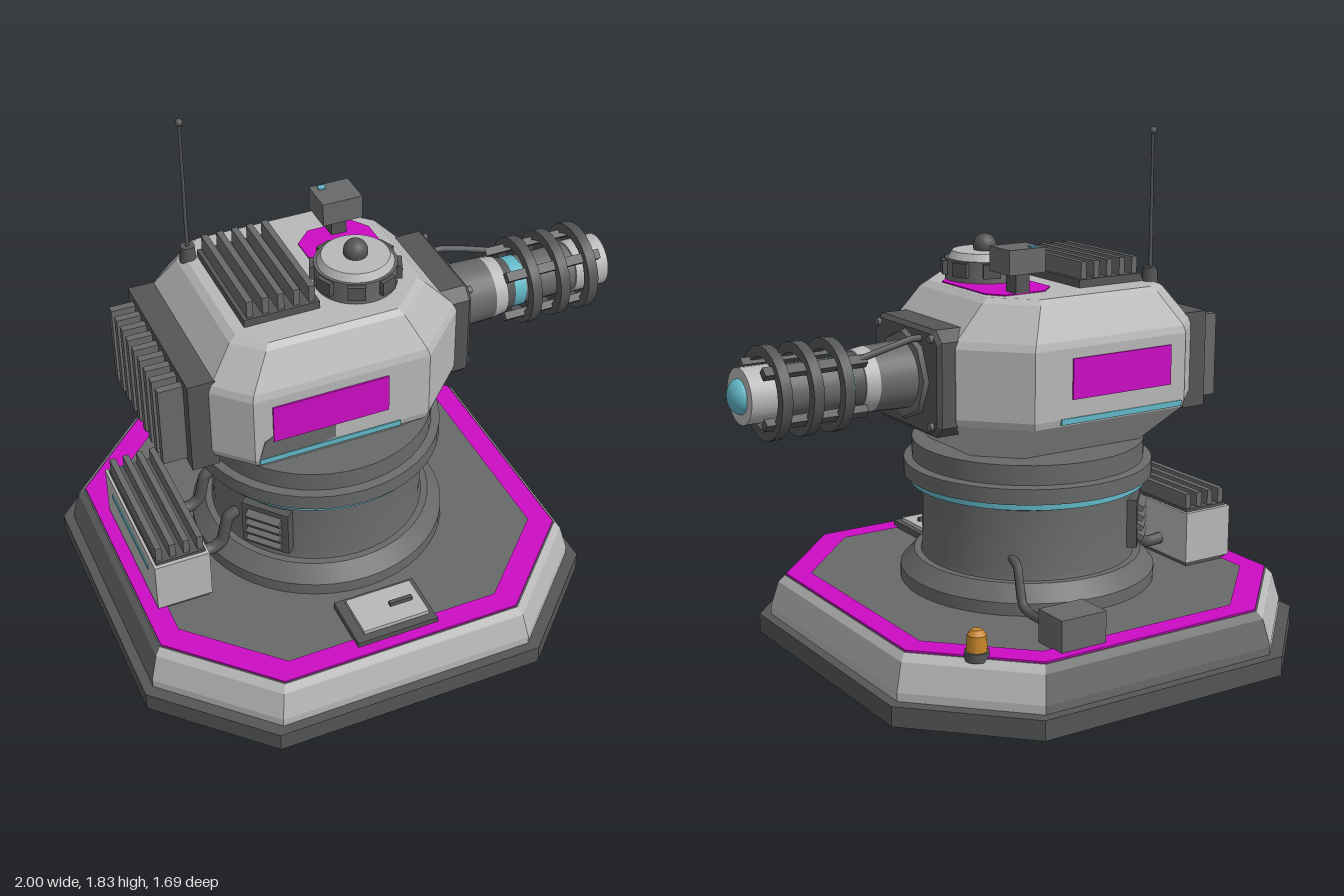
import * as THREE from 'three';
import { toCreasedNormals } from 'three/addons/utils/BufferGeometryUtils.js';

const mat = (name, color, side = THREE.FrontSide) => {
  const m = new THREE.MeshStandardMaterial({ color, side });
  m.name = name;
  return m;
};

export function createModel() {
  const root = new THREE.Group();
  root.name = 'turret';
  const light = mat('light armour', 0xb8b8b8), dark = mat('dark metal', 0x686a69);
  const deep = mat('deep metal', 0x545655), magenta = mat('magenta paint', 0xcc0cc4);
  const cyan = mat('cyan glow', 0x62b8c8), amber = mat('amber lamp', 0xc8862a);
  const CX = -0.155, BY = 1.025; // pedestal axis x, barrel axis y

  const add = (name, geo, m, x = 0, y = 0, z = 0, parent = root) => {
    const mesh = new THREE.Mesh(geo, m);
    mesh.name = name;
    mesh.position.set(x, y, z);
    parent.add(mesh);
    return mesh;
  };
  // box given by its extents
  const box = (name, m, x0, x1, y0, y1, z0, z1, parent = root) =>
    add(name, new THREE.BoxGeometry(x1 - x0, y1 - y0, z1 - z0), m, (x0 + x1) / 2, (y0 + y1) / 2, (z0 + z1) / 2, parent);
  const cyl = (name, m, r0, r1, y0, y1, x, z, seg = 24) =>
    add(name, new THREE.CylinderGeometry(r1, r0, y1 - y0, seg), m, x, (y0 + y1) / 2, z);
  const cylX = (name, m, r0, r1, x0, x1, seg = 28) =>
    add(name, new THREE.CylinderGeometry(r1, r0, x1 - x0, seg).rotateZ(-Math.PI / 2), m, (x0 + x1) / 2, BY, 0);
  const lathe = (pts, seg = 48) =>
    toCreasedNormals(new THREE.LatheGeometry(pts.map(p => new THREE.Vector2(...p)), seg), 0.5);
  const tube = (name, m, r, pts) =>
    add(name, new THREE.TubeGeometry(new THREE.CatmullRomCurve3(pts.map(p => new THREE.Vector3(...p)), false, 'catmullrom', 0.2), 20, r, 8), m);

  // octagonal outline: left/right x, half depth, left/right corner cut
  const octagon = (x0, x1, z, cl, cr) => [
    [x0 + cl, z], [x1 - cr, z], [x1, z - cr], [x1, cr - z],
    [x1 - cr, -z], [x0 + cl, -z], [x0, cl - z], [x0, z - cl]];
  const regular = (h, c) => octagon(CX - h, CX + h, h, c, c);
  // stacked octagons; one geometry group per side (0 front, then round by +x), 8 for the caps
  const loft = (levels) => {
    const pos = [], geo = new THREE.BufferGeometry();
    const put = (...list) => list.forEach(([l, k]) => pos.push(levels[l][1][k][0], levels[l][0], levels[l][1][k][1]));
    const top = levels.length - 1;
    for (let k = 0; k < 8; k++) {
      const n = (k + 1) % 8, start = pos.length / 3;
      for (let l = 0; l < top; l++) put([l, k], [l, n], [l + 1, n], [l, k], [l + 1, n], [l + 1, k]);
      geo.addGroup(start, pos.length / 3 - start, k);
    }
    const start = pos.length / 3;
    for (let k = 1; k < 7; k++) put([top, 0], [top, k], [top, k + 1], [0, 0], [0, k + 1], [0, k]);
    geo.addGroup(start, pos.length / 3 - start, 8);
    geo.setAttribute('position', new THREE.Float32BufferAttribute(pos, 3));
    geo.computeVertexNormals();
    return geo;
  };
  const shapeOf = pts => new THREE.Shape(pts.map(p => new THREE.Vector2(...p)));
  const plate = (pts, depth) => new THREE.ExtrudeGeometry(shapeOf(pts), { depth, bevelEnabled: false });

  // base: foot, armoured step, painted border
  add('foot', loft([[0, regular(0.845, 0.355)], [0.07, regular(0.845, 0.355)]]), deep);
  add('baseStep', loft([[0.07, regular(0.81, 0.345)], [0.1, regular(0.81, 0.345)],
    [0.195, regular(0.785, 0.335)], [0.22, regular(0.765, 0.328)]]),
  [light, light, light, light, dark, light, dark, light, dark]);
  const border = shapeOf(regular(0.76, 0.325));
  border.holes.push(new THREE.Path(regular(0.68, 0.29).map(p => new THREE.Vector2(...p))));
  add('borderStripe', new THREE.ExtrudeGeometry(border, { depth: 0.006, bevelEnabled: false }).rotateX(-Math.PI / 2), magenta, 0, 0.22, 0);

  // pedestal and turning ring
  add('pedestal', lathe([[0.46, 0.22], [0.46, 0.265], [0.41, 0.32], [0.385, 0.32], [0.38, 0.34], [0.38, 0.57], [0.41, 0.585]]), dark, CX);
  add('glowRing', lathe([[0.38, 0.585], [0.425, 0.585], [0.425, 0.605], [0.38, 0.605]]), cyan, CX);
  add('turningRing', lathe([[0.38, 0.605], [0.445, 0.61], [0.445, 0.665], [0.415, 0.67], [0.415, 0.74], [0, 0.745]]), dark, CX);
  for (const s of [1, -1]) {
    const vent = new THREE.Group();
    vent.name = 'pedestalVent';
    vent.position.set(CX - 0.285, 0.448, s * 0.25);
    vent.rotation.y = s > 0 ? -0.85 : Math.PI + 0.85;
    root.add(vent);
    box('ventFrame', deep, -0.09, 0.09, -0.088, 0.088, -0.04, 0.025, vent);
    for (let i = 0; i < 4; i++) {
      const slat = box('ventSlat', dark, -0.065, 0.065, -0.01, 0.01, -0.012, 0.022, vent);
      slat.position.set(0, -0.054 + i * 0.036, 0.03);
      slat.rotation.x = 0.5;
    }
  }

  // housing
  add('housing', loft([
    [0.74, octagon(-0.53, 0.17, 0.27, 0.08, 0.13)],
    [0.875, octagon(-0.635, 0.275, 0.405, 0.105, 0.19)],
    [0.9, octagon(-0.645, 0.28, 0.412, 0.11, 0.19)],
    [1.14, octagon(-0.645, 0.28, 0.412, 0.11, 0.19)],
    [1.165, octagon(-0.635, 0.272, 0.405, 0.105, 0.19)],
    [1.28, octagon(-0.55, 0.165, 0.345, 0.09, 0.14)],
    [1.297, octagon(-0.525, 0.14, 0.325, 0.08, 0.13)]]), light);
  for (const s of [1, -1]) {
    box('sidePanel', magenta, -0.47, -0.06, 0.965, 1.105, s * 0.414 - 0.004, s * 0.414 + 0.004);
    box('sideGlowStrip', cyan, -0.52, -0.015, 0.882, 0.902, s * 0.411 - 0.005, s * 0.411 + 0.005);
  }
  add('wornPatch', plate([[-0.52, 0.902], [-0.34, 0.902], [-0.25, 0.91], [-0.25, 0.965], [-0.47, 0.985], [-0.5, 0.97]], 0.003), dark, 0, 0, 0.411);
  add('roofPatch', plate([[-0.145, -0.12], [0.05, -0.2], [0.12, -0.13], [0.12, 0.15], [0.08, 0.21], [-0.085, 0.21], [-0.145, 0.15]], 0.005)
    .rotateX(-Math.PI / 2), magenta, 0, 1.296, 0);

  // side radiator
  box('radiatorBlock', deep, -0.715, -0.62, 0.835, 1.18, -0.3, 0.3);
  for (let i = 0; i < 9; i++) {
    const z = -0.24 + i * 0.06;
    box('radiatorFin', dark, -0.8, -0.71, 0.855, 1.155, z - 0.014, z + 0.014);
  }

  // roof vent fins
  box('roofVentBase', deep, -0.485, -0.22, 1.29, 1.325, -0.22, 0.22);
  for (let i = 0; i < 5; i++) {
    const x = -0.46 + i * 0.054;
    box('roofVentFin', dark, x - 0.011, x + 0.011, 1.31, 1.385, -0.21, 0.21);
  }

  // antenna
  cyl('antennaBase', deep, 0.03, 0.025, 1.28, 1.345, -0.515, -0.23, 12);
  cyl('antennaRod', deep, 0.007, 0.005, 1.34, 1.82, -0.515, -0.23, 8);
  add('antennaTip', new THREE.SphereGeometry(0.013, 12, 8), deep, -0.515, 1.82, -0.23);

  // cupola with clamps and dome
  const qx = -0.05, qz = 0.12;
  cyl('cupolaRing', dark, 0.14, 0.14, 1.29, 1.375, qx, qz, 32);
  cyl('cupolaLid', light, 0.13, 0.115, 1.375, 1.4, qx, qz, 32);
  add('cupolaDome', new THREE.SphereGeometry(0.042, 20, 12), deep, qx, 1.415, qz);
  for (let i = 0; i < 8; i++) {
    const a = (i + 0.5) * Math.PI / 4;
    const clamp = box('cupolaClamp', deep, -0.03, 0.03, -0.025, 0.025, -0.012, 0.012);
    clamp.position.set(qx + Math.sin(a) * 0.142, 1.345, qz + Math.cos(a) * 0.142);
    clamp.rotation.y = a;
  }

  // sensor
  box('sensorStem', deep, -0.02, 0.035, 1.29, 1.38, -0.21, -0.15);
  box('sensorHead', dark, -0.065, 0.08, 1.37, 1.455, -0.24, -0.115);
  box('sensorLight', cyan, -0.04, -0.015, 1.453, 1.46, -0.23, -0.205);

  // barrel flange
  const c = 0.03, hy = 0.17, hz = 0.205;
  const flangeShape = shapeOf([[-hz + c, -hy], [hz - c, -hy], [hz, c - hy], [hz, hy - c], [hz - c, hy], [c - hz, hy], [-hz, hy - c], [-hz, c - hy]]);
  add('flange', new THREE.ExtrudeGeometry(flangeShape, { depth: 0.12, bevelSize: 0.014, bevelThickness: 0.014, bevelSegments: 1 })
    .rotateY(Math.PI / 2), deep, 0.21, BY - 0.005, 0);
  for (const sy of [1, -1]) for (const sz of [1, -1]) {
    add('flangeBolt', new THREE.CylinderGeometry(0.014, 0.014, 0.02, 8).rotateZ(-Math.PI / 2), dark, 0.347, BY + sy * 0.15, sz * 0.175);
  }
  cylX('barrelCollar', dark, 0.165, 0.15, 0.33, 0.36, 8);

  // barrel, cage and lens
  cylX('barrelRoot', dark, 0.118, 0.112, 0.34, 0.5);
  cylX('barrelBand', light, 0.112, 0.105, 0.5, 0.55);
  cylX('barrelNeck', deep, 0.1, 0.092, 0.55, 0.585);
  cylX('barrelGlow', cyan, 0.092, 0.092, 0.585, 0.63);
  cylX('barrelCore', dark, 0.088, 0.088, 0.63, 0.84);
  cylX('muzzle', light, 0.095, 0.095, 0.83, 0.96);
  add('lens', new THREE.SphereGeometry(0.06, 24, 16).scale(0.75, 1, 1), cyan, 0.955, BY, 0);
  for (const x of [0.62, 0.732, 0.845]) {
    add('cageRing', lathe([[0.122, 0], [0.158, 0], [0.158, 0.037], [0.122, 0.037], [0.122, 0]], 24).rotateZ(-Math.PI / 2), deep, x, BY, 0);
  }
  for (let i = 0; i < 4; i++) {
    const a = (i + 0.5) * Math.PI / 2;
    const strut = box('cageStrut', deep, 0.545, 0.915, -0.014, 0.014, -0.017, 0.017);
    strut.position.y = BY + Math.cos(a) * 0.12;
    strut.position.z = Math.sin(a) * 0.12;
    strut.rotation.x = a;
  }
  tube('barrelCable', deep, 0.012, [[0.33, 1.165, -0.1], [0.38, 1.165, -0.1], [0.48, 1.14, -0.095], [0.57, 1.115, -0.085]]);

  // power box with cooling fins and hoses
  box('powerBox', light, -0.87, -0.67, 0.235, 0.425, -0.28, 0.28);
  box('powerBoxFoot', deep, -0.86, -0.68, 0.215, 0.24, -0.27, 0.27);
  box('powerBoxTop', deep, -0.86, -0.68, 0.42, 0.435, -0.265, 0.265);
  box('powerBoxGlow', cyan, -0.874, -0.868, 0.355, 0.375, -0.2, 0.2);
  for (let i = 0; i < 4; i++) {
    const x = -0.845 + i * 0.05;
    box('powerBoxFin', dark, x - 0.011, x + 0.011, 0.43, 0.49, -0.255, 0.255);
  }
  for (const z of [-0.12, 0.12]) {
    tube('powerHose', deep, 0.022, [[-0.68, 0.29, z], [-0.61, 0.285, z], [-0.57, 0.31, z], [-0.545, 0.41, z], [-0.49, 0.44, z]]);
  }

  // rear junction box and its conduit
  box('junctionBox', dark, 0.02, 0.195, 0.22, 0.335, -0.73, -0.595);
  tube('junctionConduit', deep, 0.016, [[0.11, 0.245, -0.6], [0.11, 0.243, -0.42], [0.11, 0.265, -0.37], [0.1, 0.38, -0.325], [0.09, 0.4, -0.27]]);

  // floor hatch
  box('hatchFrame', deep, -0.305, -0.005, 0.215, 0.245, 0.51, 0.72);
  box('hatchPlate', light, -0.27, -0.025, 0.24, 0.26, 0.53, 0.69);
  box('hatchHandle', deep, -0.14, -0.055, 0.255, 0.275, 0.605, 0.62);

  // warning lamp
  cyl('lampBase', deep, 0.042, 0.042, 0.21, 0.24, 0.43, -0.59, 16);
  cyl('lamp', amber, 0.035, 0.032, 0.24, 0.295, 0.43, -0.59, 12);
  cyl('lampCap', amber, 0.032, 0.018, 0.295, 0.312, 0.43, -0.59, 12);

  return root;
}
